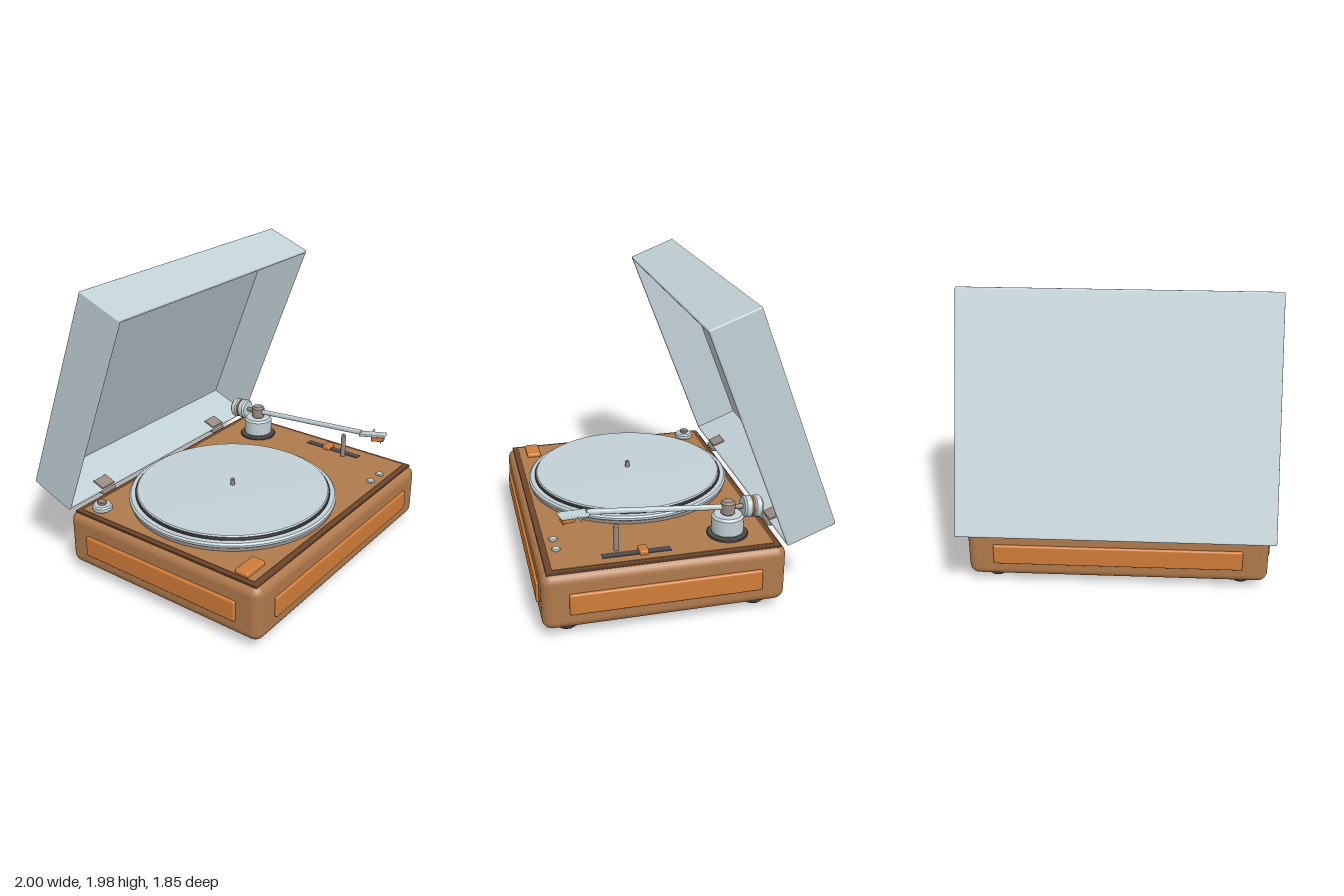
import * as THREE from 'three';
import { RoundedBoxGeometry } from 'three/addons/geometries/RoundedBoxGeometry.js';
import { toCreasedNormals } from 'three/addons/utils/BufferGeometryUtils.js';

const paint = (name, color) => Object.assign(new THREE.MeshStandardMaterial({ color }), { name });

export function createModel() {
  const wood = paint('wood', 0xb07a4c);
  const darkWood = paint('dark wood', 0x6b4529);
  const orange = paint('orange', 0xd07c38);
  const silver = paint('pale blue grey', 0xc2d1d6);
  const taupe = paint('taupe metal', 0x988a80);
  const dark = paint('dark rubber', 0x4c4a48);

  const model = new THREE.Group();
  model.name = 'recordPlayer';

  const add = (name, geometry, material, x, y, z, parent = model) => {
    const mesh = new THREE.Mesh(geometry, material);
    mesh.name = name;
    mesh.position.set(x, y, z);
    parent.add(mesh);
    return mesh;
  };
  const rbox = (w, h, d, r = 0.01, seg = 2) => new RoundedBoxGeometry(w, h, d, seg, r);
  // Turned part from [radius, height] pairs, bottom to top
  const turned = (points, sides = 40) => toCreasedNormals(
    new THREE.LatheGeometry(points.map(([r, y]) => new THREE.Vector2(r, y)), sides), 0.6);
  const disc = (r, h, b = 0.008, sides = 40) =>
    turned([[0, 0], [r - b, 0], [r, b], [r, h - b], [r - b, h], [0, h]], sides);

  // Plinth with a dark border around the deck
  const midZ = 0.145;
  add('plinth', rbox(1.96, 0.38, 1.53, 0.065, 4), wood, 0, 0.25, midZ);
  add('deckBorder', rbox(1.9, 0.014, 1.46, 0.004), darkWood, 0, 0.437, midZ);
  add('deck', new THREE.BoxGeometry(1.83, 0.008, 1.38), wood, 0, 0.444, midZ);

  // Raised panels on all four sides, and the feet
  for (const s of [-1, 1]) {
    add('longPanel', rbox(1.62, 0.14, 0.04, 0.012), orange, 0, 0.24, midZ + s * 0.762);
    add('sidePanel', rbox(0.04, 0.14, 1.205, 0.012), orange, s * 0.98, 0.24, midZ);
    for (const t of [-1, 1]) {
      add('foot', disc(0.076, 0.07, 0.016, 28), dark, s * 0.815, 0, midZ + t * 0.6);
    }
  }

  // Platter, mat, record and spindle
  const platter = new THREE.Group();
  platter.name = 'platter';
  platter.position.set(-0.195, 0, 0.14);
  model.add(platter);
  add('platterBase', turned([[0, 0.44], [0.655, 0.44], [0.68, 0.452], [0.68, 0.475], [0, 0.475]], 72), taupe, 0, 0, 0, platter);
  add('platterRim', turned([[0, 0.475], [0.682, 0.475], [0.692, 0.483], [0.692, 0.497], [0.68, 0.508], [0, 0.508]], 72), silver, 0, 0, 0, platter);
  add('mat', disc(0.65, 0.016, 0.004, 72), dark, 0, 0.506, 0, platter);
  add('record', turned([[0, 0.521], [0.635, 0.521], [0.642, 0.528], [0.635, 0.536], [0.45, 0.541], [0.22, 0.544], [0, 0.545]], 72), silver, 0, 0, 0, platter);
  add('spindle', disc(0.015, 0.08, 0.006, 16), taupe, 0, 0.51, 0, platter);

  // Deck controls
  add('powerButton', rbox(0.185, 0.05, 0.1, 0.014, 3), orange, -0.818, 0.448, 0.735);
  add('pitchSlot', new THREE.BoxGeometry(0.052, 0.008, 0.43), dark, 0.83, 0.448, 0.305);
  add('pitchKnob', rbox(0.085, 0.032, 0.056, 0.008), orange, 0.83, 0.46, 0.264);
  for (const x of [0.553, 0.68]) add('roundButton', disc(0.028, 0.018, 0.006, 20), silver, x, 0.442, 0.777);
  add('adapterHolder', disc(0.065, 0.042, 0.01, 28), silver, -0.835, 0.445, -0.45);
  add('adapterKnob', disc(0.03, 0.025, 0.006, 20), taupe, -0.835, 0.485, -0.45);
  add('armRest', disc(0.017, 0.18, 0.008, 16), taupe, 0.775, 0.445, 0.42);

  // Tonearm base and pivot
  const armX = 0.725, pivotZ = -0.305;
  add('armPlate', disc(0.13, 0.016, 0.004), dark, armX, 0.444, pivotZ);
  add('armBase', disc(0.102, 0.128, 0.014), silver, armX, 0.458, pivotZ);
  add('armPivot', disc(0.046, 0.092, 0.012, 28), taupe, armX, 0.582, pivotZ);

  // Arm, rising toward the front
  const arm = new THREE.Group();
  arm.name = 'tonearm';
  arm.position.set(armX, 0.632, pivotZ);
  arm.rotation.x = -0.083;
  model.add(arm);
  const along = (name, geometry, material, z) => {
    add(name, geometry, material, 0, 0, z, arm).rotation.x = Math.PI / 2;
  };
  along('armTube', disc(0.018, 0.92, 0.004, 18), silver, -0.02);
  along('armStub', disc(0.016, 0.14, 0.004, 18), taupe, -0.14);
  along('counterweight', disc(0.07, 0.058, 0.012), silver, -0.153);
  along('counterweightRing', disc(0.066, 0.014, 0.002), orange, -0.163);
  along('counterweightEnd', disc(0.07, 0.055, 0.012), silver, -0.216);

  // Headshell, angled inward, with cartridge, stylus and finger lift
  const head = new THREE.Group();
  head.name = 'headshell';
  head.position.set(0.742, 0.707, 0.672);
  head.rotation.set(-0.1, 0.24, -0.06);
  model.add(head);
  add('headshellPlate', rbox(0.082, 0.018, 0.185, 0.006), silver, 0, 0, 0, head);
  add('cartridge', rbox(0.05, 0.036, 0.085, 0.005), orange, 0, -0.026, 0.035, head);
  const stylus = add('stylus', new THREE.ConeGeometry(0.007, 0.03, 8), dark, 0, -0.056, 0.055, head);
  stylus.rotation.x = Math.PI;
  add('fingerLift', rbox(0.06, 0.008, 0.012, 0.003), silver, 0.065, 0.004, -0.015, head);

  // Open dust cover: a shallow tray leaning back, open toward the deck
  const cover = new THREE.Group();
  cover.name = 'dustCover';
  cover.position.set(0, 0.446, -0.615);
  cover.rotation.x = 0.365;
  model.add(cover);
  const W = 1.96, H = 1.517, D = 0.332, T = 0.024;
  add('coverBack', rbox(W, H, T, 0.01), silver, 0, H / 2, -D + T / 2, cover);
  for (const s of [-1, 1]) {
    add('coverSide', rbox(T, H, D, 0.01), silver, s * (W - T) / 2, H / 2, -D / 2, cover);
    add('coverEnd', rbox(W, T, D, 0.01), silver, 0, H / 2 + s * (H - T) / 2, -D / 2, cover);
    // Hinges: leaf inside the cover, barrel and bracket below it
    add('hingeLeaf', rbox(0.12, 0.012, 0.09, 0.004), taupe, s * 0.61, T + 0.004, -0.048, cover);
    add('hingeBracket', rbox(0.12, 0.03, 0.08, 0.008), taupe, s * 0.61, 0.443, -0.635);
  }
  return model;
}
